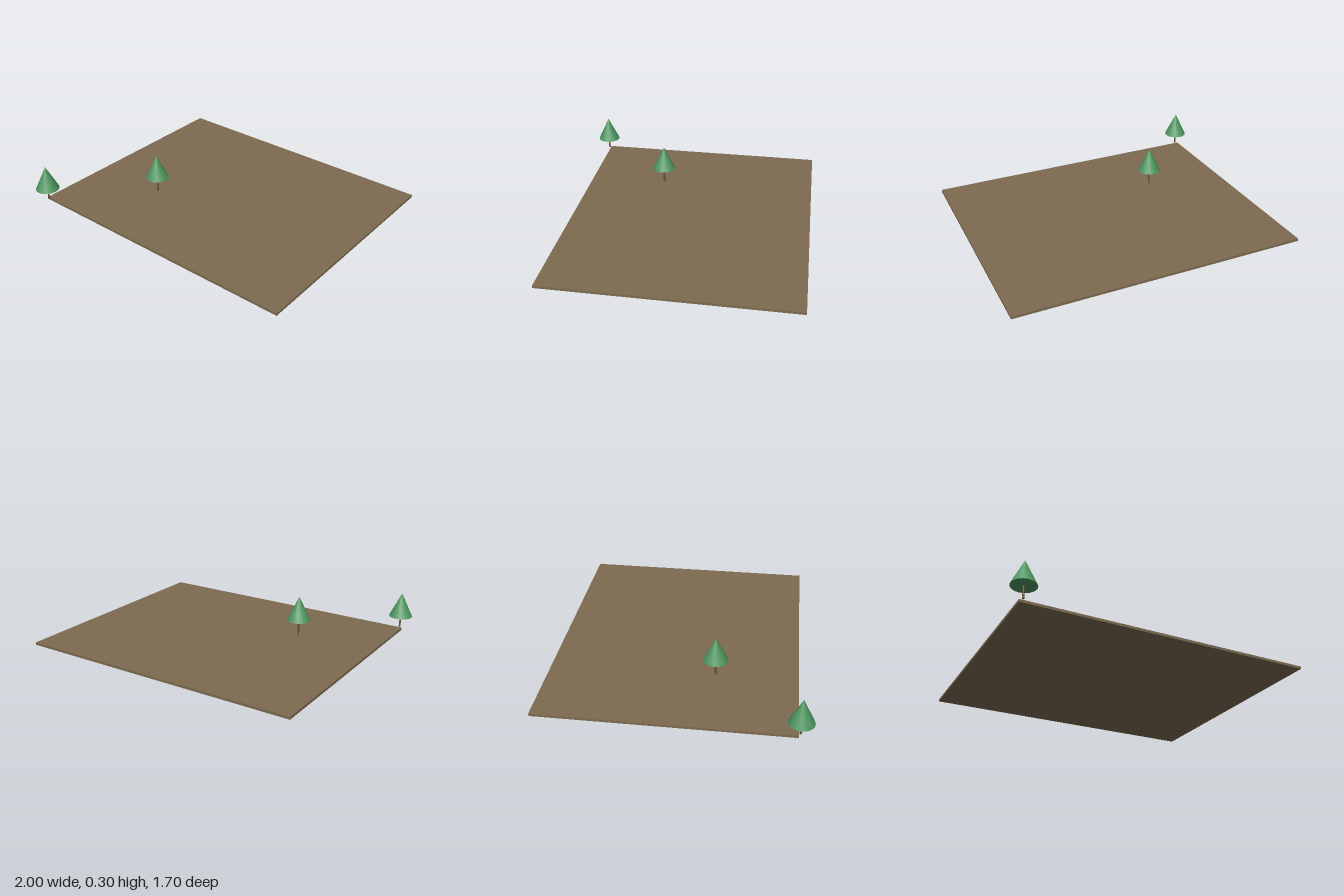
import * as THREE from 'three';

export function createModel() {
  const model = new THREE.Group();
  const earth = new THREE.MeshStandardMaterial({ name: 'earth brown', color: 0x7d6b50 });
  const bark = new THREE.MeshStandardMaterial({ name: 'bark brown', color: 0x6b5138 });
  const leaf = new THREE.MeshStandardMaterial({ name: 'leaf green', color: 0x4f9660 });

  function part(parent, name, geometry, material, x, y, z) {
    const mesh = new THREE.Mesh(geometry, material);
    mesh.name = name;
    mesh.position.set(x, y, z);
    parent.add(mesh);
  }

  // Thin ground slab
  part(model, 'ground', new THREE.BoxGeometry(1.94, 0.017, 1.61), earth, 0.03, 0.0085, -0.045);

  // Conifers: a slim trunk under a single cone
  const trunkHeight = 0.108, crownHeight = 0.164;
  const trunkShape = new THREE.CylinderGeometry(0.005, 0.0065, trunkHeight, 10);
  const crownShape = new THREE.ConeGeometry(0.08, crownHeight, 16);
  function addTree(name, x, crownBase, z) {
    const tree = new THREE.Group();
    tree.name = name;
    tree.position.set(x, crownBase, z);
    part(tree, 'trunk', trunkShape, bark, 0, -trunkHeight / 2, 0);
    part(tree, 'crown', crownShape, leaf, 0, crownHeight / 2, 0);
    model.add(tree);
  }
  addTree('cornerTree', -0.92, 0.099, 0.77);
  addTree('innerTree', -0.405, 0.132, 0.225);

  // The corner trunk ends just above the slab
  const cornerTrunk = model.getObjectByName('cornerTree').getObjectByName('trunk');
  cornerTrunk.scale.y = 0.75;
  cornerTrunk.position.y = -trunkHeight * 0.375;

  return model;
}
